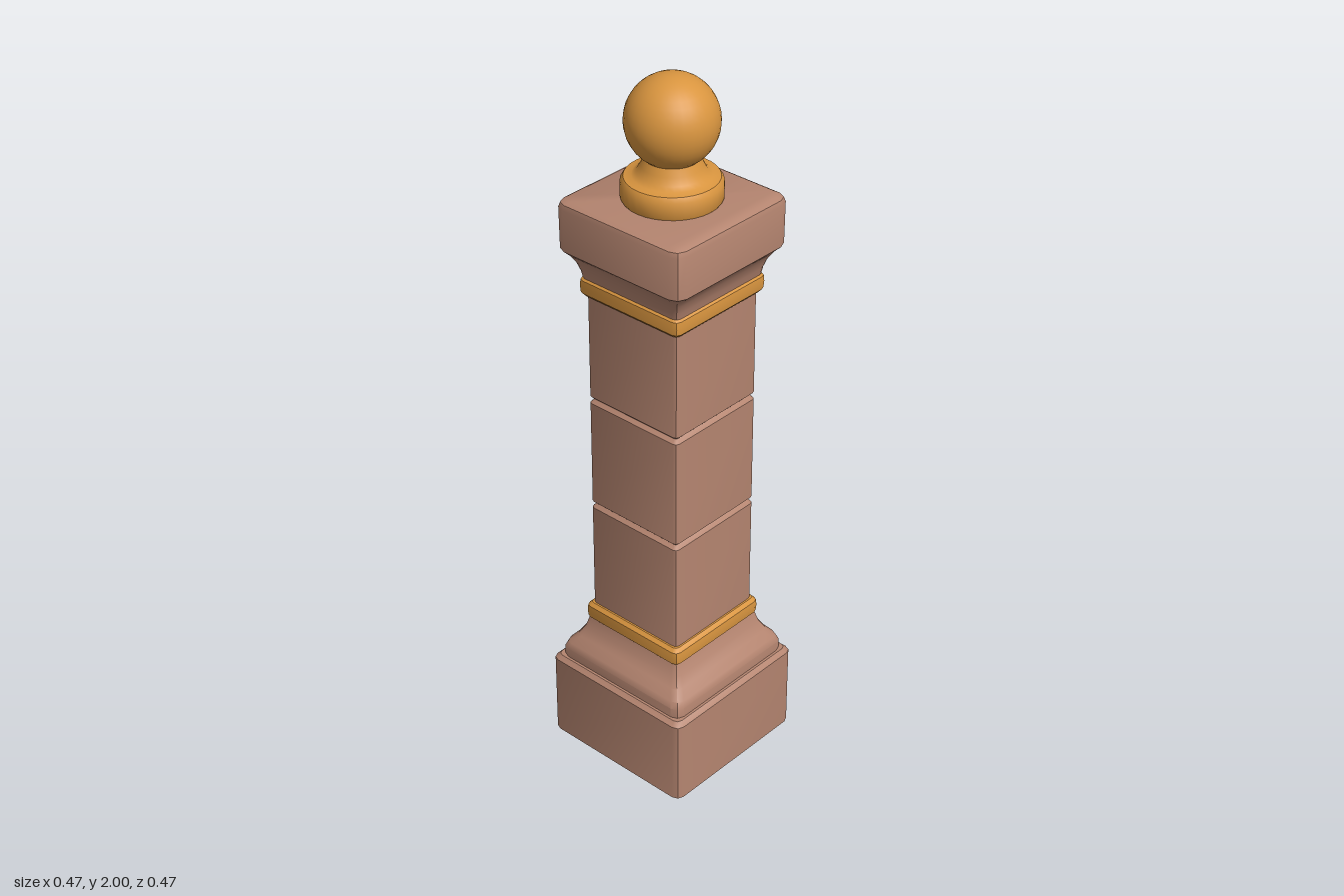
import * as THREE from 'three';
import { toCreasedNormals } from 'three/addons/utils/BufferGeometryUtils.js';

// Square loft: profile rows are [half width, y, corner radius], bottom to top, capped at both ends.
function squareLoft(profile) {
  const steps = 2, n = 4 * (steps + 1), pos = [], idx = [];
  for (const [h, y, r] of profile) {
    for (let c = 0; c < 4; c++) {
      const mid = Math.PI / 4 + c * Math.PI / 2;
      const cx = Math.sign(Math.cos(mid)) * (h - r), cz = Math.sign(Math.sin(mid)) * (h - r);
      for (let s = 0; s <= steps; s++) {
        const a = (c + s / steps) * Math.PI / 2;
        pos.push(cx + r * Math.cos(a), y, cz + r * Math.sin(a));
      }
    }
  }
  const rows = profile.length;
  for (let i = 0; i < rows - 1; i++) {
    for (let j = 0; j < n; j++) {
      const a = i * n + j, b = i * n + (j + 1) % n;
      idx.push(a, a + n, b, b, a + n, b + n);
    }
  }
  const top = (rows - 1) * n;
  for (let j = 1; j < n - 1; j++) idx.push(0, j, j + 1, top, top + j + 1, top + j);
  const g = new THREE.BufferGeometry();
  g.setAttribute('position', new THREE.Float32BufferAttribute(pos, 3));
  g.setIndex(idx);
  return toCreasedNormals(g, 0.6);
}

// Block with bevelled edges
function block(h, y0, y1, bevel, corner) {
  const inner = Math.max(corner - bevel * 0.5, 0.004);
  return squareLoft([
    [h - bevel, y0, inner], [h, y0 + bevel, corner],
    [h, y1 - bevel, corner], [h - bevel, y1, inner],
  ]);
}

export function createModel() {
  const model = new THREE.Group();
  model.name = 'pillar';
  const stone = new THREE.MeshStandardMaterial({ color: 0xb58570 });
  stone.name = 'stone';
  const gold = new THREE.MeshStandardMaterial({ color: 0xd9953f });
  gold.name = 'gold';
  const add = (name, geometry, material) => {
    const mesh = new THREE.Mesh(geometry, material);
    mesh.name = name;
    model.add(mesh);
  };

  // Base and its flared moulding
  add('base', block(0.234, 0, 0.27, 0.012, 0.022), stone);
  add('baseMoulding', squareLoft([
    [0.215, 0.26, 0.025], [0.215, 0.298, 0.025], [0.208, 0.315, 0.025],
    [0.188, 0.338, 0.022], [0.172, 0.365, 0.018], [0.162, 0.4, 0.015],
  ]), stone);

  // Three stacked shaft blocks
  [[0.42, 0.77], [0.77, 1.097], [1.097, 1.43]].forEach(([y0, y1], i) => {
    add('shaftBlock' + (i + 1), block(0.152, y0, y1, 0.01, 0.012), stone);
  });

  // Gold bands at the ends of the shaft
  for (const [name, y] of [['lowerBand', 0.39], ['upperBand', 1.405]]) {
    add(name, squareLoft([
      [0.157, y, 0.012], [0.166, y + 0.01, 0.016], [0.168, y + 0.028, 0.018],
      [0.166, y + 0.046, 0.016], [0.157, y + 0.056, 0.012],
    ]), gold);
  }

  // Capital: concave neck under a bevelled slab
  add('capital', squareLoft([
    [0.16, 1.45, 0.014], [0.165, 1.475, 0.016], [0.175, 1.502, 0.02],
    [0.19, 1.525, 0.026], [0.205, 1.54, 0.032], [0.206, 1.655, 0.032],
    [0.202, 1.668, 0.03], [0.19, 1.675, 0.026],
  ]), stone);

  // Finial foot and ball
  const foot = [
    [0, 1.67], [0.122, 1.67], [0.128, 1.68], [0.128, 1.722], [0.12, 1.734], [0.1, 1.737],
    [0.088, 1.746], [0.078, 1.765], [0.07, 1.785], [0, 1.79],
  ].map(([x, y]) => new THREE.Vector2(x, y));
  add('finialFoot', toCreasedNormals(new THREE.LatheGeometry(foot, 32), 0.7), gold);
  const ball = new THREE.SphereGeometry(0.119, 32, 20);
  ball.translate(0, 1.881, 0);
  add('finialBall', ball, gold);

  return model;
}
